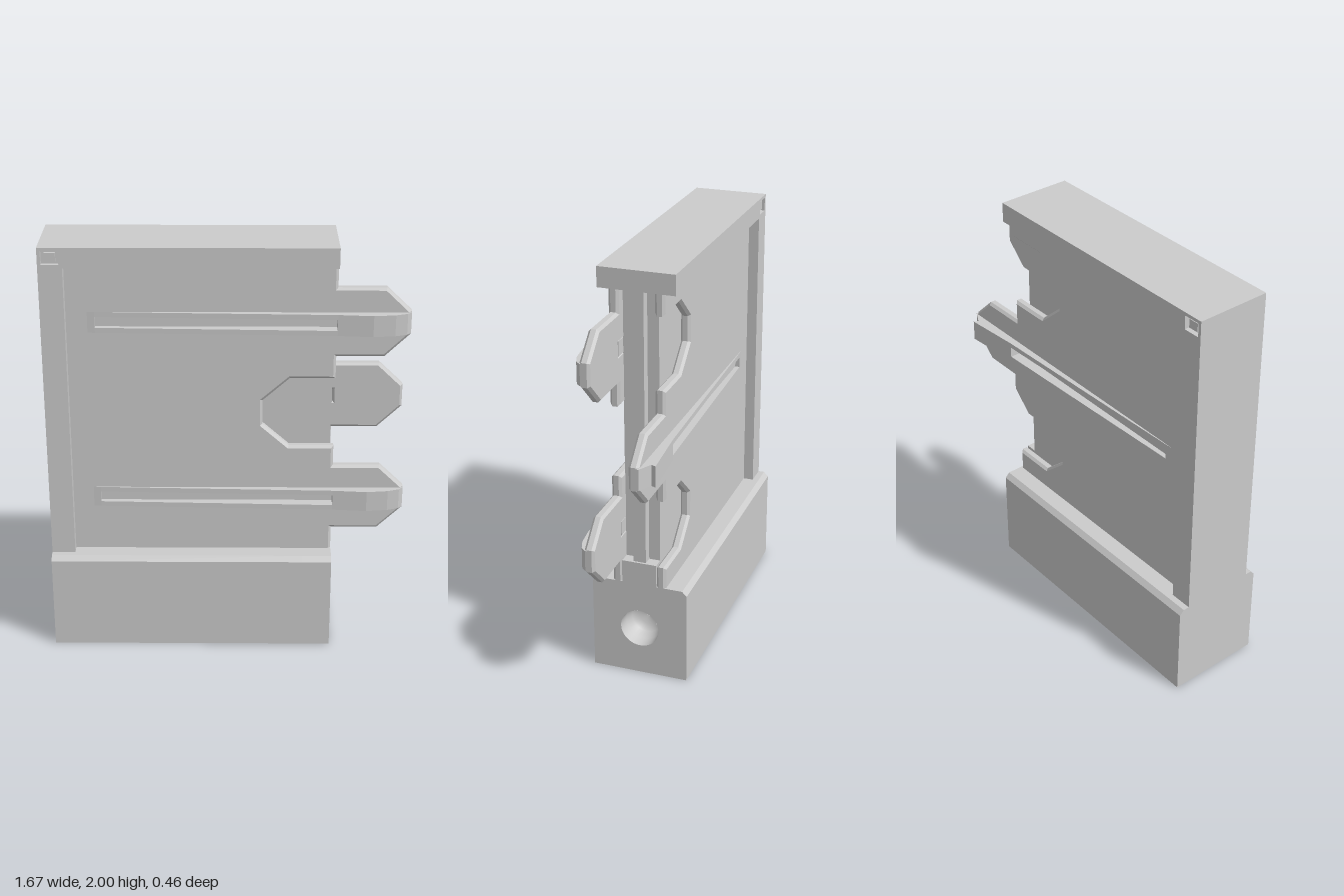
import * as THREE from 'three';

const grey = new THREE.MeshStandardMaterial({ color: 0xcccccc });
const greyDouble = new THREE.MeshStandardMaterial({ color: 0xcccccc, side: THREE.DoubleSide });
const LEFT = -0.84, END = 0.5;

const shapeOf = pts => new THREE.Shape(pts.map(p => new THREE.Vector2(p[0], p[1])));
const rect = (x0, x1, y0, y1) => [[x0, y0], [x1, y0], [x1, y1], [x0, y1]];
const extrude = (shape, depth) => new THREE.ExtrudeGeometry(shape, { depth, bevelEnabled: false, curveSegments: 24 });

export function createModel() {
  const root = new THREE.Group();

  const add = (name, geo, mat = grey) => {
    const m = new THREE.Mesh(geo, mat);
    m.name = name;
    root.add(m);
    return m;
  };
  const box = (name, x0, x1, y0, y1, z0, z1) =>
    add(name, new THREE.BoxGeometry(x1 - x0, y1 - y0, z1 - z0)
      .translate((x0 + x1) / 2, (y0 + y1) / 2, (z0 + z1) / 2));

  // Chamfered foot, with a domed socket in its open end
  const footOutline = [[-0.232, 0], [0.232, 0], [0.232, 0.455], [0.21, 0.478], [-0.21, 0.478], [-0.232, 0.455]];
  const socketStart = 0.36;
  add('foot', extrude(shapeOf(footOutline), socketStart - LEFT).rotateY(Math.PI / 2).translate(LEFT, 0, 0));
  const footEnd = shapeOf(footOutline);
  footEnd.holes.push(new THREE.Path().absarc(0, 0.24, 0.094, 0, Math.PI * 2, true));
  add('footEnd', extrude(footEnd, END - socketStart).rotateY(Math.PI / 2).translate(socketStart, 0, 0));
  const dome = [[0, -0.13], [0.045, -0.122], [0.075, -0.1], [0.09, -0.06], [0.094, 0]];
  add('socket', new THREE.LatheGeometry(dome.map(p => new THREE.Vector2(...p)), 32)
    .rotateZ(-Math.PI / 2).translate(END, 0.24, 0), greyDouble);

  // Core between the two panels, with a tongue up its open end
  box('core', -0.8, 0.445, 0.47, 1.92, -0.084, 0.084);
  box('coreTongue', 0.44, 0.49, 0.47, 1.92, -0.03, 0.03);
  box('coreSill', 0.4, END, 0.47, 0.59, -0.084, 0.084);
  box('endPost', LEFT, -0.73, 0.47, 1.91, -0.18, 0.18);

  // Top cap: a core and two face plates with a small square pocket
  box('cap', LEFT, END, 1.905, 2, -0.155, 0.155);
  const capFace = shapeOf(rect(LEFT, END, 1.905, 2));
  capFace.holes.push(new THREE.Path(rect(-0.825, -0.745, 1.92, 1.985).map(p => new THREE.Vector2(...p))));
  for (const z of [0.155, -0.18]) add('capFace', extrude(capFace, 0.025).translate(0, 0, z));
  for (const z of [0.162, -0.162]) box('pocketBoss', -0.81, -0.76, 1.932, 1.973, z - 0.008, z + 0.008);

  // Ridges lie over each tab and ramp up towards its tip
  const ramp = [[-0.69, 0.125], [-0.6, 0.133], [0.5, 0.166]];
  const noses = {
    1: [[0.5, 0.166], [0.66, 0.18], [0.76, 0.168], [0.815, 0.148], [0.835, 0.125]],
    [-1]: [[0.5, 0.166], [0.78, 0.187], [0.77, 0.165], [0.835, 0.13]],
  };
  const ridgePiece = (name, top, side, y0, y1) => {
    const pts = [...top, [top[top.length - 1][0], 0.1], [top[0][0], 0.1]].map(p => [p[0], p[1] * side]);
    add(name, extrude(shapeOf(pts), y1 - y0).rotateX(Math.PI / 2).translate(0, y1, 0));
  };

  // Panels: tabs on one face line up with notches on the other
  const rows = [0.755, 1.19, 1.635];
  for (const side of [1, -1]) {
    const edge = [];
    const tabs = [];
    rows.forEach((y, i) => {
      const isTab = (i === 1) === (side === -1);
      const [xFlat, xTip, h, t] = isTab ? [0.72, 0.835, 0.165, 0.055] : [0.29, 0.165, 0.17, 0.06];
      edge.push([END, y - h], [xFlat, y - h], [xTip, y - t], [xTip, y + t], [xFlat, y + h], [END, y + h]);
      if (isTab) tabs.push(y);
    });
    const panel = shapeOf([[-0.8, 0.46], [END, 0.46], ...edge, [END, 1.92], [-0.8, 1.92]]);
    for (const y of tabs) {
      panel.holes.push(new THREE.Path(rect(-0.6, END, y - 0.028, y + 0.028).map(p => new THREE.Vector2(...p))));
    }
    const b = 0.012;
    add(side > 0 ? 'frontPanel' : 'backPanel', new THREE.ExtrudeGeometry(panel, {
      depth: 0.048 - 2 * b, bevelEnabled: true, bevelThickness: b, bevelSize: b, bevelOffset: -b, bevelSegments: 1,
    }).translate(0, 0, side * 0.106 - 0.024 + b));

    for (const y of tabs) {
      ridgePiece('ridgeStart', ramp.slice(0, 2), side, y - 0.05, y + 0.05);
      ridgePiece('ridgeRail', ramp.slice(1), side, y - 0.05, y - 0.026);
      ridgePiece('ridgeRail', ramp.slice(1), side, y + 0.026, y + 0.05);
      ridgePiece('ridgeNose', noses[side], side, y - 0.05, y + 0.05);
      const z = side * 0.097;
      box('slotFloor', -0.61, END, y - 0.035, y + 0.035, z - 0.014, z + 0.014);
    }
  }
  return root;
}
